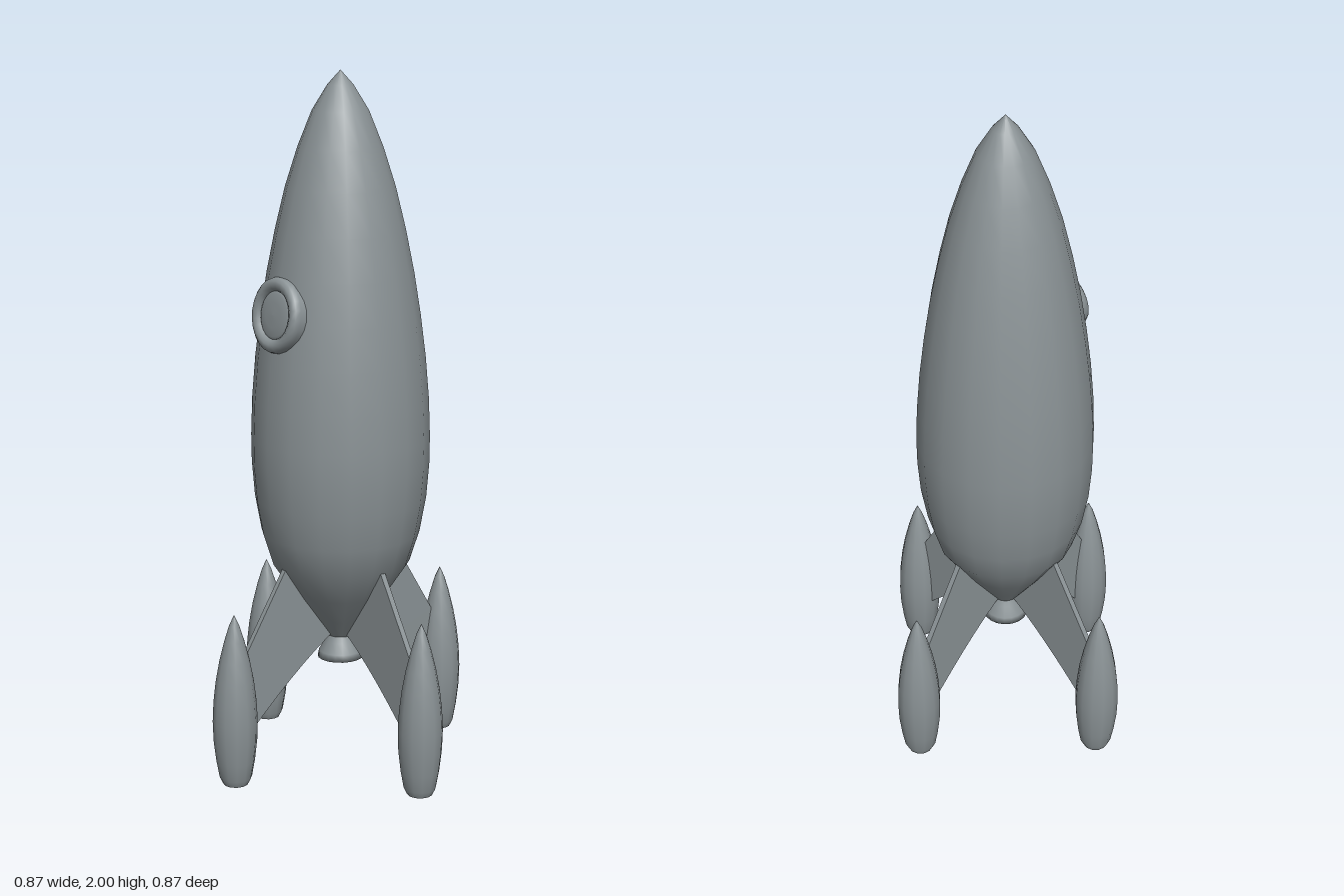
import * as THREE from 'three';

const grey = new THREE.MeshStandardMaterial({ color: 0x8a9295 });
grey.name = 'hull grey';
const greyOpen = new THREE.MeshStandardMaterial({ color: 0x8a9295, side: THREE.DoubleSide });
greyOpen.name = 'hull grey open';

// Smooth surface of revolution from [radius, height] pairs, listed bottom to top
function turned(name, profile, sides, material = grey) {
  const points = profile.map(([r, y]) => new THREE.Vector2(r, y));
  const mesh = new THREE.Mesh(new THREE.LatheGeometry(points, sides), material);
  mesh.name = name;
  return mesh;
}

// Flat disc facing down, closing the underside of a turned part
function bottomCap(name, radius, y, sides) {
  const geometry = new THREE.CircleGeometry(radius, sides, Math.PI / 2);
  geometry.rotateX(Math.PI / 2);
  const mesh = new THREE.Mesh(geometry, grey);
  mesh.name = name;
  mesh.position.y = y;
  return mesh;
}

// Swept fin plate with its landing pod, pointing along +x
function createLeg() {
  const leg = new THREE.Group();

  const outline = new THREE.Shape();
  outline.moveTo(0.02, 0.39);
  outline.lineTo(0.05, 0.375);
  outline.quadraticCurveTo(0.18, 0.29, 0.335, 0.135);
  outline.lineTo(0.335, 0.385);
  outline.lineTo(0.2, 0.605);
  outline.lineTo(0.1, 0.6);
  outline.closePath();
  const plate = new THREE.ExtrudeGeometry(outline, { depth: 0.016, bevelEnabled: false, curveSegments: 6 });
  plate.translate(0, 0, -0.008);
  const fin = new THREE.Mesh(plate, grey);
  fin.name = 'fin';

  const pod = new THREE.Group();
  pod.name = 'landingPod';
  pod.position.x = 0.373;
  pod.add(
    turned('podShell', [
      [0.036, 0], [0.046, 0.02], [0.055, 0.07], [0.062, 0.13], [0.064, 0.19], [0.061, 0.25],
      [0.054, 0.31], [0.043, 0.37], [0.028, 0.43], [0.014, 0.475], [0, 0.505],
    ], 12),
    bottomCap('podBase', 0.036, 0, 12),
  );

  leg.add(fin, pod);
  return leg;
}

export function createModel() {
  const rocket = new THREE.Group();
  rocket.name = 'rocket';

  // Hull, pointed at the top and tapering sharply below the fins
  rocket.add(
    turned('hull', [
      [0.035, 0.37], [0.08, 0.43], [0.14, 0.51], [0.2, 0.6], [0.228, 0.69], [0.246, 0.79], [0.254, 0.89],
      [0.255, 0.97], [0.251, 1.08], [0.241, 1.2], [0.226, 1.32], [0.207, 1.44], [0.183, 1.56],
      [0.154, 1.68], [0.119, 1.79], [0.079, 1.89], [0.036, 1.96], [0, 2],
    ], 18),
    bottomCap('hullBase', 0.035, 0.37, 18),
  );

  // Open flared exhaust
  rocket.add(turned('nozzle', [[0.045, 0.315], [0.066, 0.305], [0.062, 0.325], [0.045, 0.355], [0.032, 0.385]], 18, greyOpen));
  rocket.add(turned('nozzleThroat', [[0.045, 0.315], [0.03, 0.35], [0, 0.36]], 18, greyOpen));

  // Round porthole leaning back with the hull
  const porthole = new THREE.Group();
  porthole.name = 'porthole';
  porthole.position.set(0, 1.342, 0.223);
  porthole.rotation.x = Math.PI / 2 - 0.15;
  porthole.add(
    turned('portholeRim', [
      [0.103, -0.045], [0.107, -0.008], [0.103, 0.006], [0.094, 0.013], [0.083, 0.014],
      [0.073, 0.009], [0.067, 0.001], [0.066, -0.01],
    ], 24, greyOpen),
    turned('portholeGlass', [[0.067, 0.002], [0.06, 0.006], [0.035, 0.009], [0, 0.01]], 24),
  );
  rocket.add(porthole);

  // Four legs around the hull
  ['left', 'front', 'right', 'back'].forEach((side, i) => {
    const leg = createLeg();
    leg.name = side + 'Leg';
    leg.rotation.y = -i * Math.PI / 2;
    rocket.add(leg);
  });

  return rocket;
}
